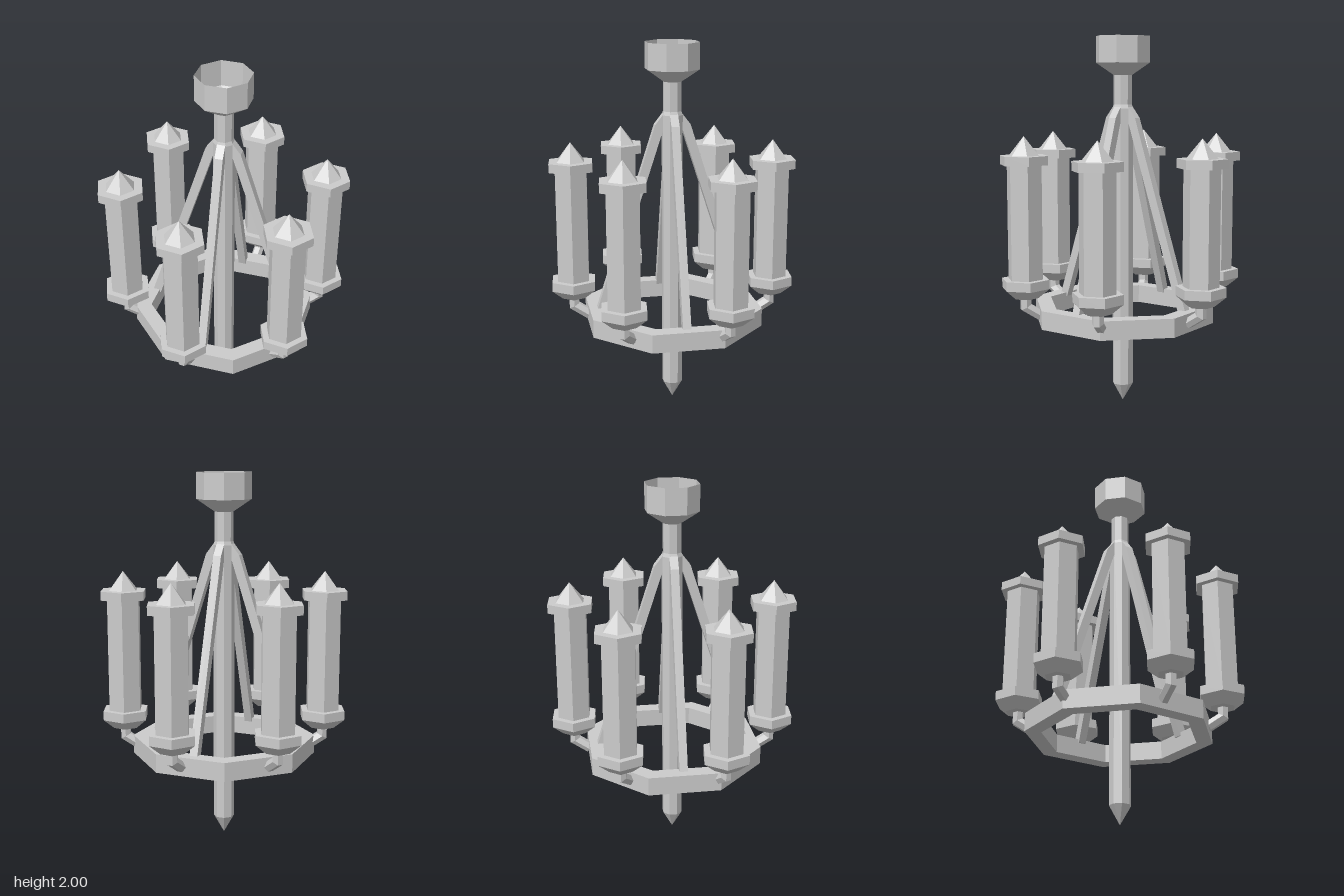
import * as THREE from 'three';

const material = new THREE.MeshStandardMaterial({ color: 0xcccccc, flatShading: true });
const openMaterial = new THREE.MeshStandardMaterial({ color: 0xcccccc, flatShading: true, side: THREE.DoubleSide });

function addMesh(parent, name, geometry, mat = material) {
  const mesh = new THREE.Mesh(geometry, mat);
  mesh.name = name;
  parent.add(mesh);
  return mesh;
}

const lathe = (points, sides) =>
  new THREE.LatheGeometry(points.map(([r, y]) => new THREE.Vector2(r, y)), sides);

const octagon = (r) => Array.from({ length: 8 }, (_, i) =>
  new THREE.Vector2(r * Math.cos(i * Math.PI / 4), r * Math.sin(i * Math.PI / 4)));

// Bent hexagonal arm: vertical stub, mitred elbow, then slanting in to the ring
function armGeometry() {
  const geometry = new THREE.CylinderGeometry(0.03, 0.03, 2, 6, 2);
  const pos = geometry.attributes.position;
  for (let i = 0; i < pos.count; i++) {
    const x = pos.getX(i), row = Math.round(pos.getY(i));
    if (row > 0) pos.setXY(i, 0.54 + x, 0.64);
    else if (row === 0) pos.setXY(i, 0.54 + x, 0.57 - 0.545 * x);
    else pos.setXY(i, 0.46 + 0.54 * x, 0.518 - 0.84 * x);
  }
  return geometry;
}

export function createModel() {
  const model = new THREE.Group();
  model.name = 'chandelier';

  // Hollow pole with pointed foot and open ceiling cup
  addMesh(model, 'poleAndCup', lathe([
    [0, 0.005], [0.057, 0.105], [0.057, 1.62], [0.05, 1.64], [0.05, 1.795], [0.147, 1.86], [0.147, 2],
  ], 8), openMaterial);

  // Octagonal ring
  const ringShape = new THREE.Shape(octagon(0.5));
  ringShape.holes.push(new THREE.Path(octagon(0.412).reverse()));
  const ring = new THREE.ExtrudeGeometry(ringShape, { depth: 0.1, bevelEnabled: false });
  ring.rotateX(-Math.PI / 2).translate(0, 0.47, 0);
  addMesh(model, 'ring', ring);

  // Four bent struts from the pole to the ring
  const strutShape = new THREE.Shape([
    [0.03, 1.57], [0.055, 1.535], [0.375, 0.55], [0.423, 0.55], [0.095, 1.57], [0.04, 1.64],
  ].map(([x, y]) => new THREE.Vector2(x, y)));
  const strut = new THREE.ExtrudeGeometry(strutShape, { depth: 0.044, bevelEnabled: false });
  strut.translate(0, 0, -0.022);
  for (let i = 0; i < 4; i++) {
    addMesh(model, 'strut', strut).rotation.y = -Math.PI / 8 + i * Math.PI / 2;
  }

  // Six lanterns, each on its own arm
  const lantern = lathe([
    [0, 0.62], [0.07, 0.62], [0.132, 0.672], [0.132, 0.722], [0.096, 0.722], [0.096, 1.33],
    [0.132, 1.33], [0.132, 1.378], [0.083, 1.378], [0, 1.48],
  ], 6);
  const arm = armGeometry();
  for (const degrees of [0, 60, 119, 180, 240, 299]) {
    const group = new THREE.Group();
    group.name = 'lanternArm';
    addMesh(group, 'lantern', lantern).position.x = 0.54;
    addMesh(group, 'arm', arm);
    group.rotation.y = -THREE.MathUtils.degToRad(degrees);
    model.add(group);
  }
  return model;
}
